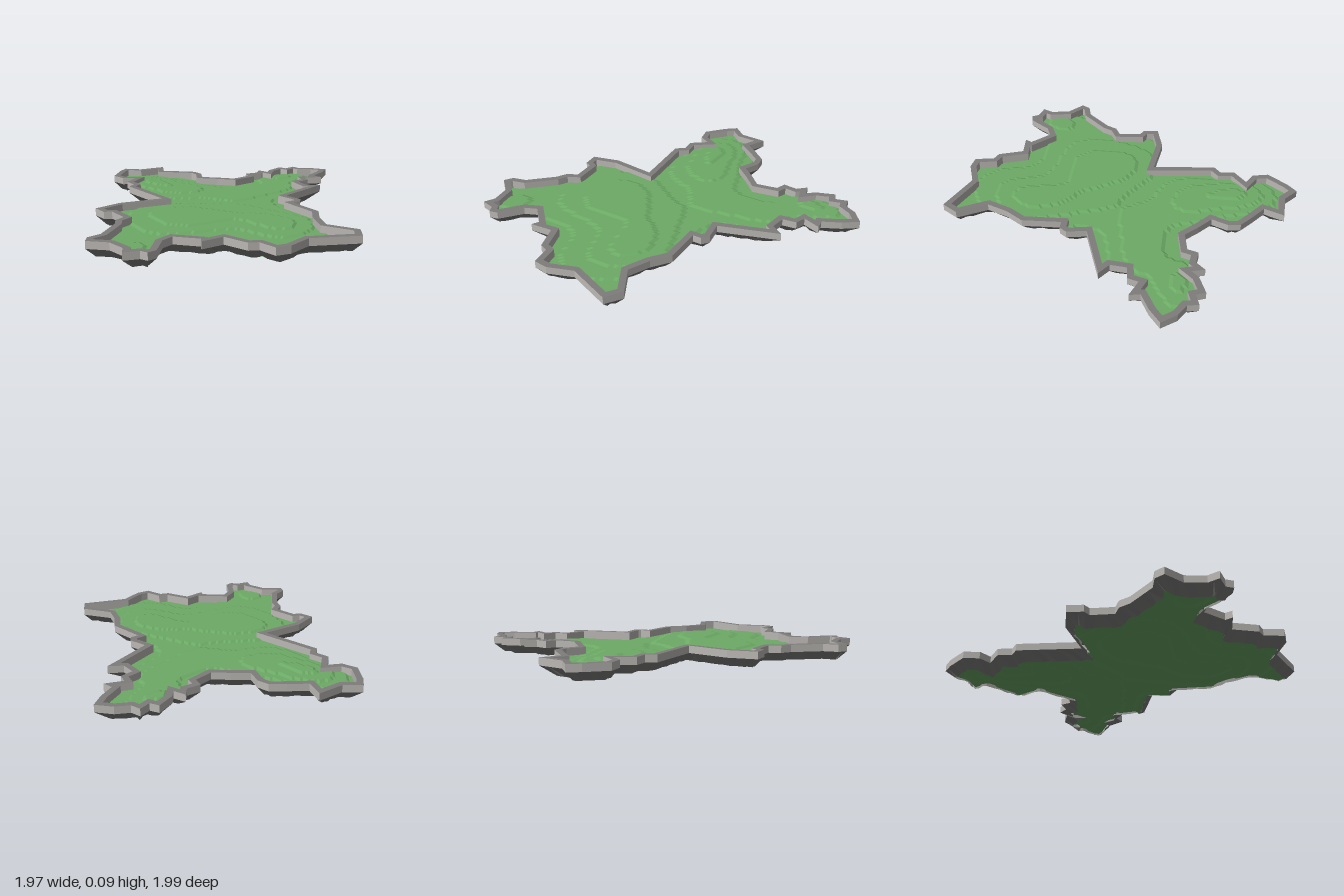
import * as THREE from 'three';

// Outer border, clockwise seen from above: x, z pairs in hundredths
const BORDER = [
  -16, -100, -8, -93, 8, -92, 3, -81, 12, -74, 19, -68, 20, -61, 16, -52, 24, -45, 31, -38,
  43, -40, 45, -46, 53, -45, 58, -50, 60, -43, 64, -47, 75, -51, 77, -46, 84, -48, 85, -42,
  92, -38, 98, -30, 90, -24, 80, -19, 81, -13, 71, -17, 69, -11, 61, -10, 60, -1, 67, 4,
  34, 15, 36, 26, 33, 30, 28, 30, 29, 52, 22, 62, 17, 74, 26, 90, 20, 99, -5, 89,
  -19, 94, -27, 93, -29, 82, -34, 80, -39, 66, -52, 67, -50, 63, -60, 53, -67, 56, -76, 68,
  -81, 69, -83, 65, -91, 63, -88, 57, -90, 46, -99, 38, -96, 33, -88, 31, -75, 18, -72, 12,
  -66, 9, -67, -4, -71, -6, -72, -15, -56, -19, -31, -16, -35, -52, -30, -56, -31, -64,
  -22, -71, -29, -75, -31, -84, -22, -95,
];
const RIM_WIDTH = 0.035, SLOPE_WIDTH = 0.048, RIM_TOP = 0.09, RIM_LOW = 0.05;
const GROUND_TOP = 0.043, GROUND_BOTTOM = 0.004, CELL = 0.02;

// Hills as x, z, radius along x, radius along z, height
const HILLS = [
  [-0.4, 0.2, 0.38, 0.3, 0.02], [-0.28, 0.02, 0.25, 0.2, 0.012], [-0.12, -0.65, 0.2, 0.22, 0.028],
  [-0.05, -0.38, 0.28, 0.18, 0.016], [0.32, -0.16, 0.3, 0.16, 0.02], [0.03, 0.48, 0.2, 0.3, 0.024],
  [0.68, -0.38, 0.2, 0.12, 0.022], [-0.82, 0.5, 0.1, 0.12, 0.012],
];

// Mitred inset of a closed outline
function inset(points, width) {
  const n = points.length;
  const normal = (a, b) => new THREE.Vector2(a.y - b.y, b.x - a.x).normalize();
  return points.map((p, i) => {
    const n1 = normal(points[(i + n - 1) % n], p);
    const n2 = normal(p, points[(i + 1) % n]);
    const mitre = n1.clone().add(n2).normalize();
    return mitre.multiplyScalar(width / Math.max(mitre.dot(n1), 0.47)).add(p);
  });
}

function isInside(x, z, outline) {
  let inside = false;
  outline.forEach((a, i) => {
    const b = outline[(i + 1) % outline.length];
    if ((a.y > z) !== (b.y > z) && x < a.x + ((z - a.y) / (b.y - a.y)) * (b.x - a.x)) inside = !inside;
  });
  return inside;
}

function nearestOnOutline(x, z, outline) {
  const p = new THREE.Vector2(x, z);
  let best = null, bestDistance = Infinity;
  outline.forEach((a, i) => {
    const edge = outline[(i + 1) % outline.length].clone().sub(a);
    const t = THREE.MathUtils.clamp(p.clone().sub(a).dot(edge) / edge.lengthSq(), 0, 1);
    const q = edge.multiplyScalar(t).add(a);
    const d = q.distanceToSquared(p);
    if (d < bestDistance) { bestDistance = d; best = q; }
  });
  return best;
}

// Rolling ground cut into shallow terraces
function terraceHeight(x, z) {
  let h = 0.003 * Math.sin(9 * x + 4 * z) * Math.cos(8 * z - 3 * x);
  for (const [hx, hz, rx, rz, height] of HILLS) {
    h += height * Math.exp(-(((x - hx) / rx) ** 2) - ((z - hz) / rz) ** 2);
  }
  return Math.max(0, Math.round(h / 0.008) * 0.008);
}

// Grid whose outermost vertices snap onto the outline
function terrainGeometry(outline, base) {
  const count = Math.round(2 / CELL), row = count + 1;
  const positions = [], inside = [], index = [];
  for (let j = 0; j <= count; j++) {
    for (let i = 0; i <= count; i++) {
      const x = -1 + i * CELL, z = -1 + j * CELL;
      const within = isInside(x, z, outline);
      const p = within ? new THREE.Vector2(x, z) : nearestOnOutline(x, z, outline);
      inside.push(within);
      positions.push(p.x, base + terraceHeight(p.x, p.y), p.y);
    }
  }
  for (let j = 0; j < count; j++) {
    for (let i = 0; i < count; i++) {
      const a = j * row + i, b = a + 1, c = a + row, d = c + 1;
      if (inside[a] || inside[b] || inside[c] || inside[d]) index.push(a, c, b, b, c, d);
    }
  }
  const geometry = new THREE.BufferGeometry();
  geometry.setAttribute('position', new THREE.Float32BufferAttribute(positions, 3));
  geometry.setIndex(index);
  const flat = geometry.toNonIndexed();
  flat.computeVertexNormals();
  return flat;
}

// Band of flat quads between two rings at given heights
function bandGeometry(ringA, yA, ringB, yB) {
  const positions = [];
  ringA.forEach((p, i) => {
    const k = (i + 1) % ringA.length;
    const a = [p.x, yA, p.y], b = [ringB[i].x, yB, ringB[i].y];
    const c = [ringB[k].x, yB, ringB[k].y], d = [ringA[k].x, yA, ringA[k].y];
    positions.push(...a, ...b, ...c, ...a, ...c, ...d);
  });
  const geometry = new THREE.BufferGeometry();
  geometry.setAttribute('position', new THREE.Float32BufferAttribute(positions, 3));
  geometry.computeVertexNormals();
  return geometry;
}

// Matching subdivision of two rings; the second gets a ragged line
function raggedRings(ringA, ringB) {
  const a = [], b = [];
  ringA.forEach((p, i) => {
    const k = (i + 1) % ringA.length;
    const steps = Math.max(1, Math.round(p.distanceTo(ringA[k]) / 0.035));
    for (let s = 0; s < steps; s++) {
      const onA = p.clone().lerp(ringA[k], s / steps);
      const onB = ringB[i].clone().lerp(ringB[k], s / steps);
      a.push(onA);
      b.push(onA.clone().lerp(onB, 1 + 0.12 * Math.sin(a.length * 2.4)));
    }
  });
  return [a, b];
}

export function createModel() {
  const material = (name, color) => {
    const m = new THREE.MeshStandardMaterial({ color, side: THREE.DoubleSide });
    m.name = name;
    return m;
  };
  const grass = material('grass green', 0x6caa65);
  const stone = material('stone grey', 0xbbb8b4);
  const darkStone = material('dark stone', 0x7e7d7c);

  const outer = [];
  for (let i = 0; i < BORDER.length; i += 2) {
    outer.push(new THREE.Vector2(BORDER[i] / 100, BORDER[i + 1] / 100));
  }
  const inner = inset(outer, RIM_WIDTH);
  const foot = inset(outer, SLOPE_WIDTH);
  const [slopeTop, slopeFoot] = raggedRings(outer, foot);

  const model = new THREE.Group();
  model.name = 'terrainMap';
  const add = (name, geometry, mat, parent) => {
    const mesh = new THREE.Mesh(geometry, mat);
    mesh.name = name;
    parent.add(mesh);
  };

  // Land slab with matching terraces above and below
  add('terrainTop', terrainGeometry(inner, GROUND_TOP), grass, model);
  add('terrainUnderside', terrainGeometry(foot, GROUND_BOTTOM), grass, model);

  // Border wall, sloping inwards underneath
  const rim = new THREE.Group();
  rim.name = 'borderRim';
  add('outerWall', bandGeometry(outer, RIM_LOW, outer, RIM_TOP), stone, rim);
  add('rimTop', bandGeometry(outer, RIM_TOP, inner, RIM_TOP), darkStone, rim);
  add('innerWall', bandGeometry(inner, RIM_TOP, inner, GROUND_TOP), stone, rim);
  add('underSlope', bandGeometry(slopeFoot, 0, slopeTop, RIM_LOW), darkStone, rim);
  model.add(rim);
  return model;
}
